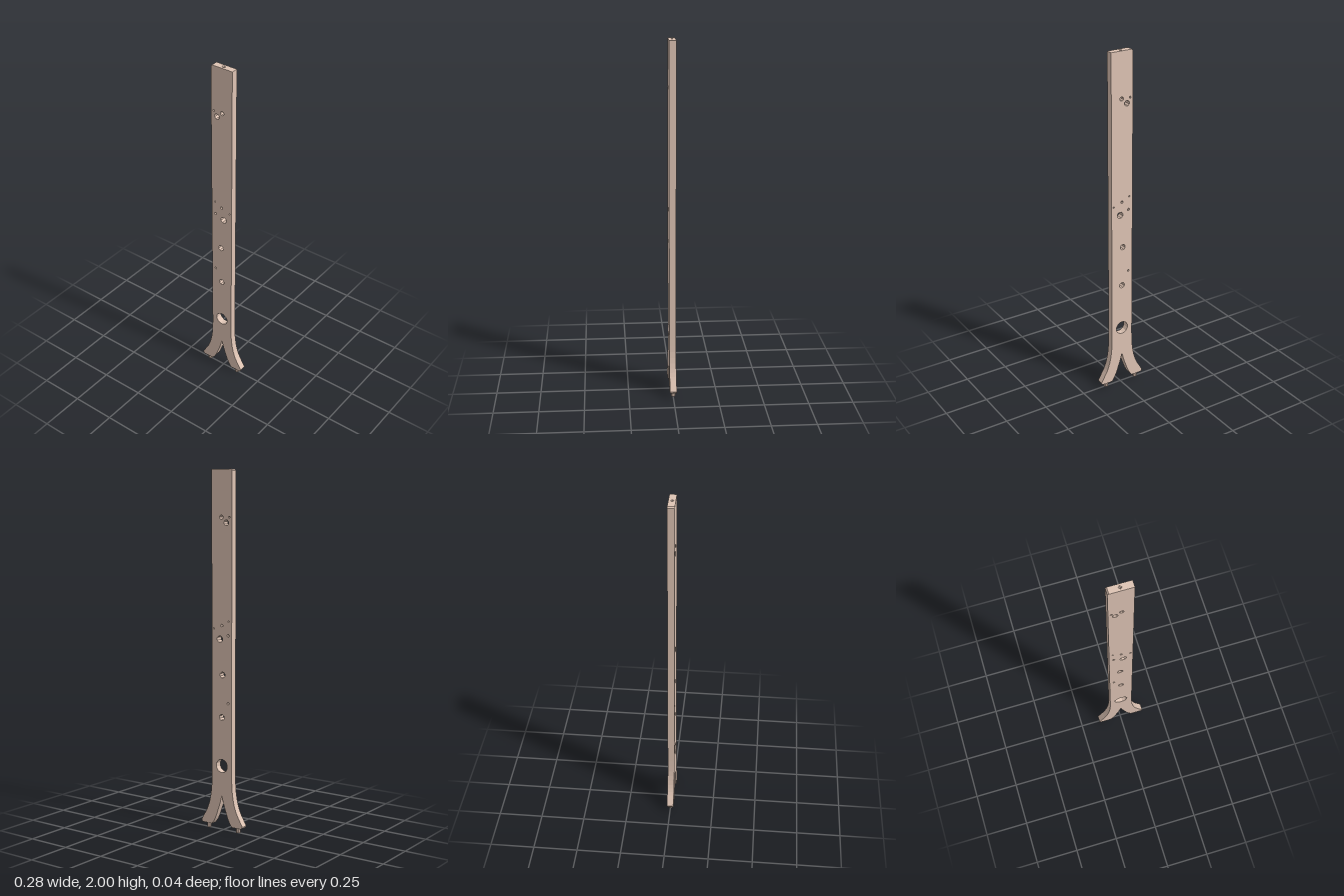
import * as THREE from 'three';

const WIDTH = 0.067;   // half width of the plank
const DEPTH = 0.038;   // full thickness
const CAP = 0.008;     // height of the top end piece

export function createModel() {
  const group = new THREE.Group();
  const wood = new THREE.MeshStandardMaterial({ color: 0xdec4b4, flatShading: true });
  const pitWood = wood.clone();
  pitWood.side = THREE.BackSide;

  const add = (name, geometry, material = wood) => {
    const mesh = new THREE.Mesh(geometry, material);
    mesh.name = name;
    group.add(mesh);
    return mesh;
  };
  const curve = (points) =>
    new THREE.CatmullRomCurve3(points.map(([x, y]) => new THREE.Vector3(x, y, 0)))
      .getPoints(12).map((p) => new THREE.Vector2(p.x, p.y));
  const mirror = (points) => points.map((p) => new THREE.Vector2(-p.x, p.y)).reverse();

  // Plank with two splayed legs, as one outline
  const outer = curve([[WIDTH, 0.33], [0.07, 0.24], [0.082, 0.165], [0.1, 0.112], [0.122, 0.073], [0.14, 0.042]]);
  const inner = curve([[0.068, 0.028], [0.048, 0.058], [0.028, 0.108], [0.012, 0.155], [0, 0.2]]);
  const right = [
    new THREE.Vector2(WIDTH, 2 - CAP), ...outer,
    new THREE.Vector2(0.137, 0.033), new THREE.Vector2(0.128, 0.028), ...inner,
  ];
  const outline = new THREE.Shape([...right, ...mirror(right).slice(1)]);

  // Round holes through the plank: x, y, radius, sides
  const holes = [
    [0, 0.37, 0.038, 12], [0, 0.645, 0.017, 8], [-0.042, 0.727, 0.007, 6],
    [-0.005, 0.883, 0.017, 8], [0.013, 1.081, 0.019, 8], [-0.042, 1.103, 0.008, 6],
    [0, 1.156, 0.008, 6], [0.053, 1.137, 0.005, 6], [-0.046, 1.18, 0.005, 6],
    [-0.03, 1.714, 0.016, 8], [0.003, 1.743, 0.012, 8], [-0.05, 1.743, 0.006, 6],
  ];
  for (const [x, y, r, sides] of holes) {
    const ring = Array.from({ length: sides }, (_, i) => {
      const a = ((i + 0.5) / sides) * Math.PI * 2;
      return new THREE.Vector2(x + r * Math.cos(a), y + r * Math.sin(a));
    });
    outline.holes.push(new THREE.Path(ring));
  }
  const plank = new THREE.ExtrudeGeometry(outline, { depth: DEPTH, bevelEnabled: false });
  plank.translate(0, 0, -DEPTH / 2);
  add('plank', plank);

  // Top end with a small diamond pit and one chamfered edge
  const pitRadius = 0.01;
  const h = DEPTH / 2;
  const top = new THREE.Shape([[-WIDTH, -h], [WIDTH, -h], [WIDTH, h], [-WIDTH, h]]
    .map(([x, y]) => new THREE.Vector2(x, y)));
  top.holes.push(new THREE.Path([[pitRadius, 0], [0, -pitRadius], [-pitRadius, 0], [0, pitRadius]]
    .map(([x, y]) => new THREE.Vector2(x, y))));
  const cap = new THREE.ExtrudeGeometry(top, { depth: CAP, bevelEnabled: false });
  cap.rotateX(-Math.PI / 2).translate(0, 2 - CAP, 0);
  const pos = cap.attributes.position;
  for (let i = 0; i < pos.count; i++) {
    if (pos.getY(i) > 2 - CAP / 2 && pos.getX(i) < -0.06) pos.setX(i, -0.06);
  }
  cap.computeVertexNormals();
  add('topEnd', cap);

  const pit = new THREE.ConeGeometry(pitRadius, CAP, 4, 1, true);
  pit.rotateX(Math.PI).translate(0, 2 - CAP / 2, 0);
  add('topPit', pit, pitWood);

  // Short pegs under the feet
  for (const side of [-1, 1]) {
    const peg = add(side > 0 ? 'leftPeg' : 'rightPeg', new THREE.CylinderGeometry(0.0125, 0.0125, 0.034, 8));
    peg.position.set(side * 0.1, 0.017, 0);
  }

  return group;
}
